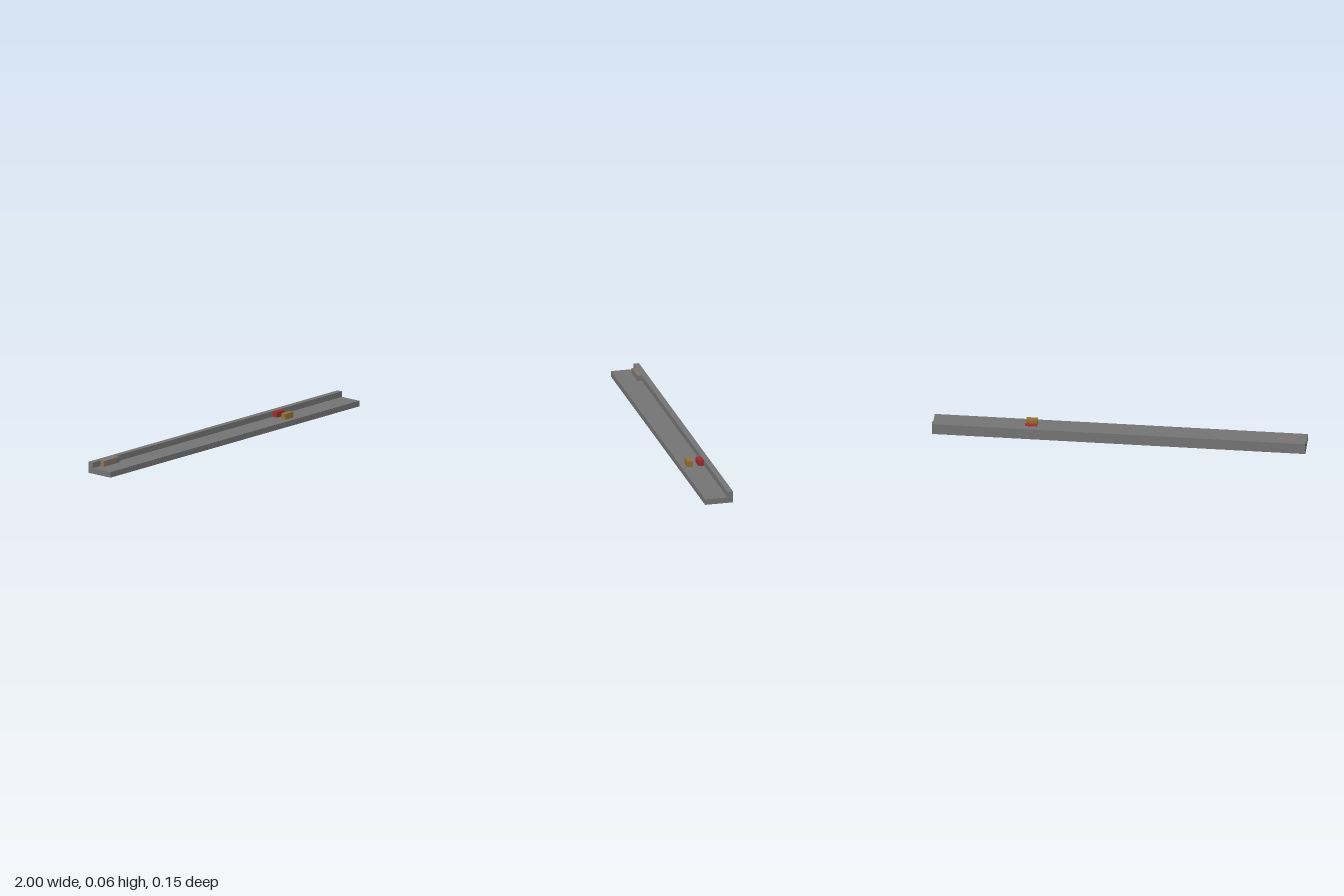
import * as THREE from 'three';

export function createModel() {
  const model = new THREE.Group();
  const material = (name, color) => {
    const m = new THREE.MeshStandardMaterial({ color });
    m.name = name;
    return m;
  };
  const grey = material('grey', 0x757575);
  const amber = material('amber', 0x966f32);
  const red = material('red', 0x9c2c2c);
  const tan = material('tan', 0x8c7464);

  // Everything sits on a grid of one small unit
  const u = 0.0308;

  // Box given by its min and max along each axis
  const box = (name, mat, [x0, x1], [y0, y1], [z0, z1]) => {
    const mesh = new THREE.Mesh(new THREE.BoxGeometry(x1 - x0, y1 - y0, z1 - z0), mat);
    mesh.position.set((x0 + x1) / 2, (y0 + y1) / 2, (z0 + z1) / 2);
    mesh.name = name;
    model.add(mesh);
  };

  // L-shaped ledge: one closed profile extruded along x
  const w = 2.5 * u;
  const profile = new THREE.Shape([
    [-w, 0], [w, 0], [w, 2 * u], [1.5 * u, 2 * u], [1.5 * u, u], [-w, u],
  ].map(([x, y]) => new THREE.Vector2(x, y)));
  const ledgeGeometry = new THREE.ExtrudeGeometry(profile, { depth: 2, bevelEnabled: false });
  ledgeGeometry.translate(0, 0, -1).rotateY(Math.PI / 2);
  const ledge = new THREE.Mesh(ledgeGeometry, grey);
  ledge.name = 'ledge';
  model.add(ledge);

  // Two coloured blocks near the left end
  const top = [u, 2 * u];
  box('redBlock', red, [0.443, 0.505], top, [-1.5 * u, -0.5 * u]);
  box('amberBlock', amber, [0.443, 0.505], top, [0.5 * u, 1.5 * u]);

  // Low striped block against the wall at the right end
  for (let i = 0; i < 4; i++) {
    const x = -0.938 + i * u;
    box('stripedBlock' + (i + 1), i % 2 ? grey : tan, [x, x + u], top, [-1.5 * u, -0.7 * u]);
  }
  return model;
}
